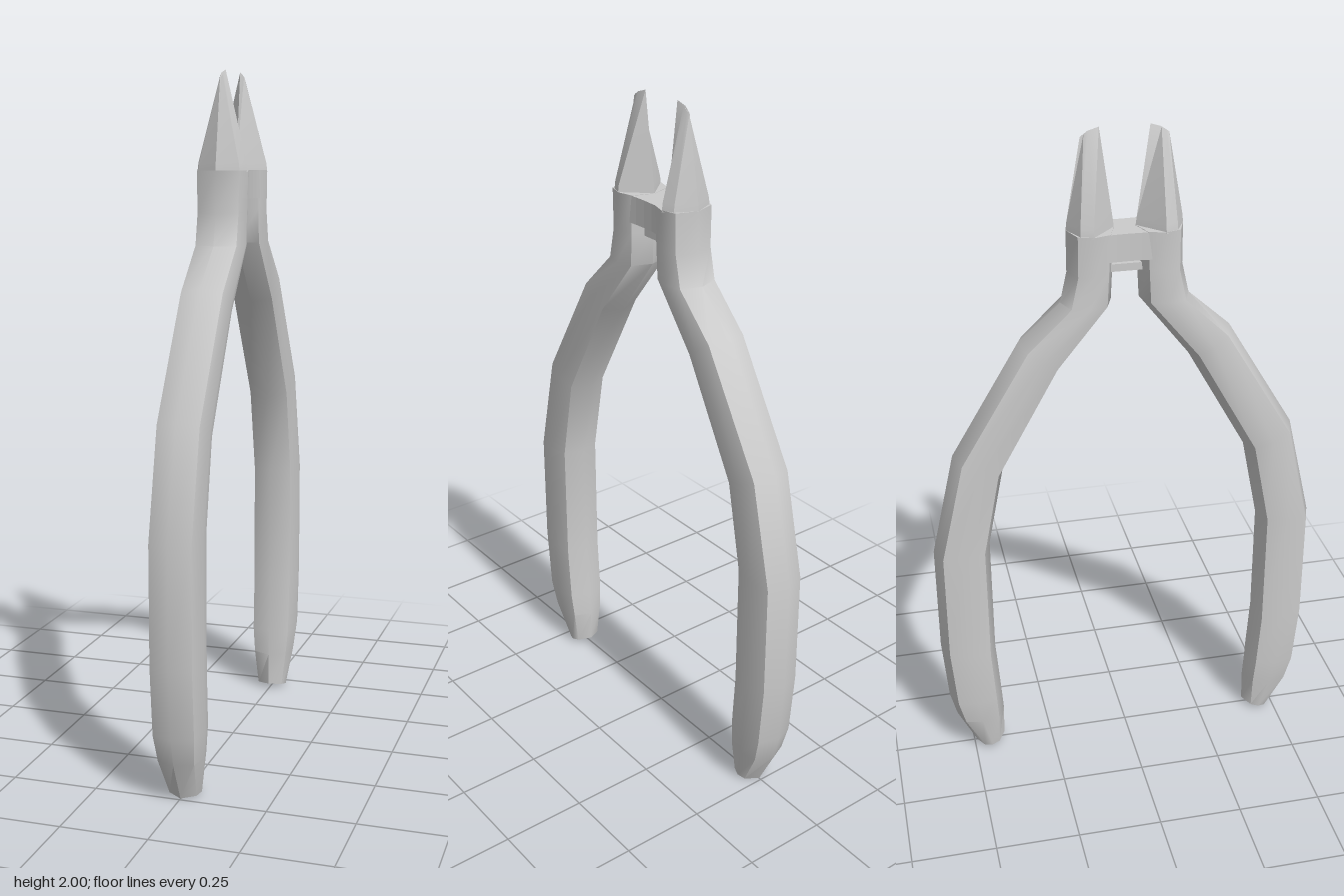
import * as THREE from 'three';
import { toCreasedNormals } from 'three/addons/utils/BufferGeometryUtils.js';

const steel = new THREE.MeshStandardMaterial({ color: 0xcccccc });

// Skin a stack of rings (listed bottom to top) and close both ends
function loft(rings, crease) {
  const n = rings[0].length;
  const verts = rings.flat();
  const index = [];
  for (let i = 0; i < rings.length - 1; i++) {
    for (let j = 0; j < n; j++) {
      const k = (j + 1) % n;
      const a = i * n + j, b = i * n + k, c = a + n, d = b + n;
      index.push(a, b, d, a, d, c);
    }
  }
  const top = (rings.length - 1) * n;
  for (let j = 1; j < n - 1; j++) {
    index.push(0, j + 1, j, top, top + j, top + j + 1);
  }
  const g = new THREE.BufferGeometry();
  g.setAttribute('position', new THREE.Float32BufferAttribute(verts.flat(), 3));
  g.setIndex(index);
  return toCreasedNormals(g, crease);
}

// Eight-sided bar section: ridges outside and inside, chamfers, bulged flanks
function barRing([zo, yo, zi, yi, w]) {
  const t = 0.022 / Math.hypot(zo - zi, yo - yi);
  const at = (x, f) => [x, yo + (yi - yo) * f, zo + (zi - zo) * f];
  const s = w * 0.83;
  return [at(0, 0), at(s, t), at(w, 0.5), at(s, 1 - t),
    at(0, 1), at(-s, 1 - t), at(-w, 0.5), at(-s, t)];
}

// Outer z, y; inner z, y; half width
const handleStations = [
  [0.492, 0.0, 0.402, 0.017, 0.048],
  [0.55, 0.12, 0.4, 0.12, 0.064],
  [0.57, 0.2, 0.405, 0.2, 0.072],
  [0.586, 0.4, 0.417, 0.37, 0.073],
  [0.586, 0.74, 0.417, 0.75, 0.073],
  [0.512, 1.06, 0.367, 1.0, 0.073],
  [0.308, 1.4, 0.188, 1.32, 0.073],
  [0.185, 1.51, 0.04, 1.51, 0.073],
  [0.165, 1.6, 0.035, 1.61, 0.073],
  [0.165, 1.72, 0.03, 1.72, 0.075],
];

// Cutting jaw section: outer ridge, shoulders, widest edge, inner cutting edge
function jawRing([zo, yo, zm, ym, zi, yi, w]) {
  const zs = zm + (zo - zm) * 0.55, ys = ym + (yo - ym) * 0.55;
  return [[0, yo, zo], [w * 0.82, ys, zs], [w, ym, zm],
    [0, yi, zi], [-w, ym, zm], [-w * 0.82, ys, zs]];
}

const jawStations = [
  [0.165, 1.715, 0.1, 1.715, 0.03, 1.715, 0.075],
  [0.163, 1.74, 0.1, 1.74, 0.033, 1.74, 0.072],
  [0.122, 1.975, 0.1, 1.99, 0.07, 2.0, 0.003],
];

export function createModel() {
  const model = new THREE.Group();
  const add = (parent, name, geometry) => {
    const mesh = new THREE.Mesh(geometry, steel);
    mesh.name = name;
    parent.add(mesh);
    return mesh;
  };

  // Two identical halves, the second turned half a revolution
  const handle = loft(handleStations.map(barRing), 0.82);
  const jaw = loft(jawStations.map(jawRing), 0.7);
  ['front', 'back'].forEach((side, i) => {
    const half = new THREE.Group();
    half.name = side + 'Half';
    add(half, side + 'Handle', handle);
    add(half, side + 'Jaw', jaw);
    half.rotation.y = i * Math.PI;
    model.add(half);
  });

  // Joint block with a waisted plan, joining the halves below the jaws
  const plan = new THREE.Shape();
  plan.moveTo(-0.064, -0.07);
  plan.lineTo(0.064, -0.07);
  plan.quadraticCurveTo(0.056, 0, 0.064, 0.07);
  plan.lineTo(-0.064, 0.07);
  plan.quadraticCurveTo(-0.056, 0, -0.064, -0.07);
  const block = new THREE.ExtrudeGeometry(plan, { depth: 0.079, bevelEnabled: false, curveSegments: 4 });
  block.rotateX(-Math.PI / 2);
  add(model, 'jointBlock', block).position.y = 1.64;

  // Thin cross bar under the joint
  add(model, 'crossBar', new THREE.BoxGeometry(0.05, 0.022, 0.1)).position.y = 1.609;

  return model;
}
